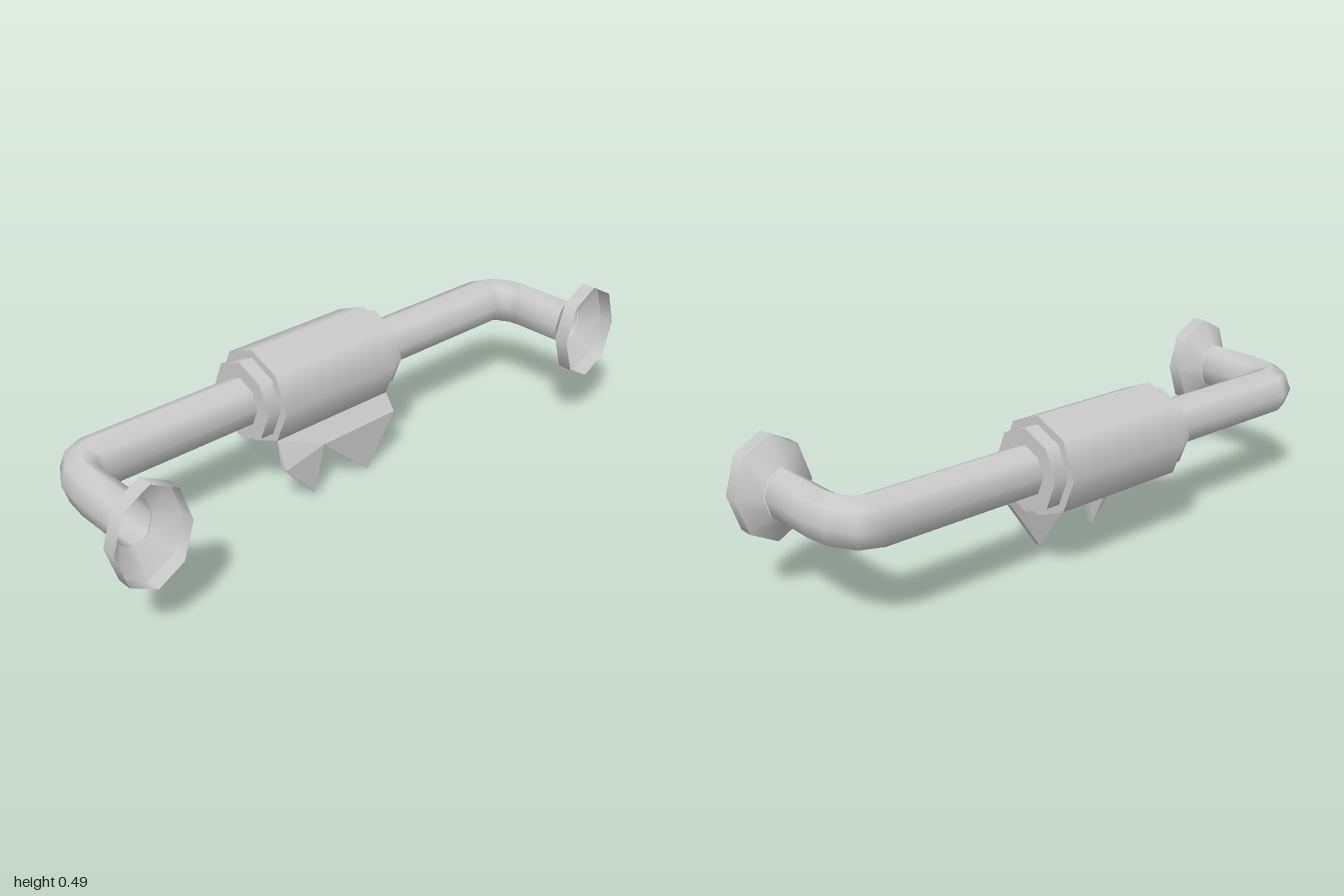
import * as THREE from 'three';

const AXIS_X = -0.128, AXIS_Y = 0.333, SIDES = 8;
const material = new THREE.MeshStandardMaterial({ color: 0xcccccc, side: THREE.DoubleSide });
const flatMaterial = new THREE.MeshStandardMaterial({ color: 0xcccccc, side: THREE.DoubleSide, flatShading: true });

function addMesh(parent, name, geometry, mat = material) {
  const mesh = new THREE.Mesh(geometry, mat);
  mesh.name = name;
  parent.add(mesh);
  return mesh;
}

// Octagonal pipe with a squashed bend at each end, open where it meets the flanges
function pipeGeometry() {
  // each ring: centre x, centre z and the outward offset in x and z
  const half = [[0.187, 0.878, 0, 0.057]];
  for (const degrees of [90, 65, 33, 0]) {
    const a = THREE.MathUtils.degToRad(degrees), c = Math.cos(a), s = Math.sin(a);
    half.push([AXIS_X * c, 0.798 + 0.08 * s, -0.078 * c, 0.057 * s]);
  }
  const back = half.map(([x, z, ox, oz]) => [x, -z, ox, -oz]);
  const rings = [...back, ...half.reverse()];
  const positions = [], index = [];
  rings.forEach(([x, z, ox, oz], r) => {
    for (let i = 0; i < SIDES; i++) {
      const phi = (i / SIDES) * Math.PI * 2, c = Math.cos(phi);
      positions.push(x + ox * c, AXIS_Y + 0.078 * Math.sin(phi), z + oz * c);
      if (r === rings.length - 1) continue;
      const a = r * SIDES + i, b = r * SIDES + (i + 1) % SIDES;
      index.push(a, a + SIDES, b, b, a + SIDES, b + SIDES);
    }
  });
  const geometry = new THREE.BufferGeometry();
  geometry.setAttribute('position', new THREE.Float32BufferAttribute(positions, 3));
  geometry.setIndex(index);
  geometry.computeVertexNormals();
  return geometry;
}

// Two-pointed wedge hanging from one lower edge of the sleeve
function finGeometry() {
  const outline = [[0.133, 0.228], [0.008, 0.113], [0.166, 0.073], [0, -0.113], [0.17, -0.228]];
  const at = (x) => outline.map(([y, z]) => new THREE.Vector3(x, y, z));
  const [A, B, C, D, E] = at(0.02), [a, b, c, d, e] = at(0);
  const outer = [A, B, C, D, E], inner = [a, b, c, d, e];
  const S = new THREE.Vector3(-0.018, 0.223, 0.228), T = new THREE.Vector3(-0.018, 0.223, -0.228);
  const faces = [
    [S, A, C], [S, C, T], [C, E, T], [A, B, C], [C, D, E], // outer slope and points
    [S, c, b], [S, T, c], [T, d, c], [S, b, a], [d, T, e], // inner side
    [A, S, a], [T, E, e],                                  // ends
  ];
  for (let i = 0; i < 4; i++) { // lower edge
    faces.push([outer[i + 1], outer[i], inner[i]], [outer[i + 1], inner[i], inner[i + 1]]);
  }
  const geometry = new THREE.BufferGeometry().setFromPoints(faces.flat());
  geometry.computeVertexNormals();
  return geometry;
}

export function createModel() {
  const group = new THREE.Group();
  group.name = 'pipeHandle';

  addMesh(group, 'pipe', pipeGeometry());

  // Thick sleeve with a smaller collar showing at both ends
  const sleeve = (name, radius, length) => {
    const geometry = new THREE.CylinderGeometry(radius, radius, length, SIDES).rotateX(Math.PI / 2);
    addMesh(group, name, geometry).position.set(AXIS_X, AXIS_Y, 0);
  };
  sleeve('sleeve', 0.155, 0.455);
  sleeve('collars', 0.129, 0.55);

  // Hollow flared flanges
  for (const side of [1, -1]) {
    const flange = new THREE.Group();
    flange.name = side > 0 ? 'frontFlange' : 'backFlange';
    flange.position.set(0, AXIS_Y, side * 0.878);
    group.add(flange);
    const section = (name, r0, r1, x0, x1) => {
      const geometry = new THREE.CylinderGeometry(r1, r0, x1 - x0, SIDES, 1, true);
      geometry.rotateZ(-Math.PI / 2).scale(1, 1, 0.76).translate((x0 + x1) / 2, 0, 0);
      addMesh(flange, name, geometry);
    };
    section('flare', 0.078, 0.16, 0.187, 0.235);
    section('rim', 0.16, 0.16, 0.235, 0.282);
  }

  addMesh(group, 'fin', finGeometry(), flatMaterial);
  return group;
}
